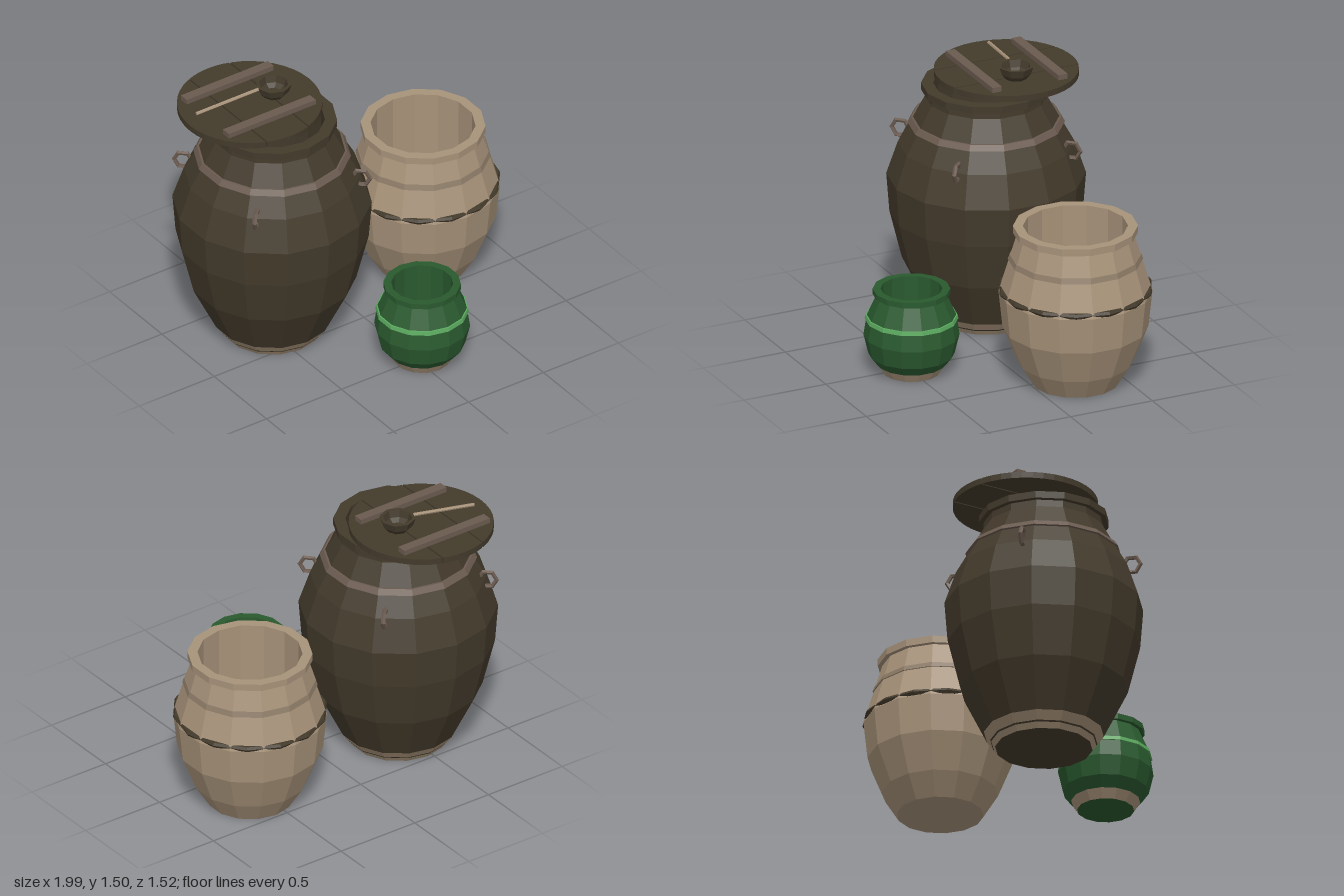
import * as THREE from 'three';

const paint = (name, color) => {
  const m = new THREE.MeshStandardMaterial({ color });
  m.name = name;
  return m;
};

export function createModel() {
  const dark = paint('darkClay', 0x433a2b);
  const brown = paint('brownWood', 0x6b5b50);
  const beige = paint('beigeClay', 0xa8937a);
  const tan = paint('tanBand', 0x8c7a66);
  const green = paint('greenGlaze', 0x2a5a2f);
  const lightGreen = paint('lightGreenStripe', 0x5aa85e);
  const blue = paint('blueWater', 0x3a6ab0);

  const SIDES = 14;
  const model = new THREE.Group();

  // Faceted mesh helper
  const add = (parent, name, geometry, material) => {
    const g = geometry.index ? geometry.toNonIndexed() : geometry;
    g.computeVertexNormals();
    const mesh = new THREE.Mesh(g, material);
    mesh.name = name;
    parent.add(mesh);
    return mesh;
  };
  // Turned part from [radius, height] points, outside going up, inside going down
  const turn = (parent, name, pts, material, sides = SIDES) =>
    add(parent, name, new THREE.LatheGeometry(pts.map(([r, y]) => new THREE.Vector2(r, y)), sides), material);
  const jar = (name, x, z) => {
    const g = new THREE.Group();
    g.name = name;
    g.position.set(x, 0, z);
    model.add(g);
    return g;
  };

  // Large dark jar
  const large = jar('largeJar', -0.467, -0.21);
  turn(large, 'base', [[0, 0], [0.268, 0]], dark);
  turn(large, 'lowerFootBand', [[0.268, 0], [0.289, 0.03]], beige);
  turn(large, 'footGroove', [[0.289, 0.03], [0.295, 0.038]], dark);
  turn(large, 'upperFootBand', [[0.295, 0.038], [0.33, 0.085]], beige);
  turn(large, 'body', [
    [0.33, 0.085], [0.462, 0.355], [0.53, 0.63], [0.547, 0.853], [0.484, 1.04], [0.405, 1.18],
    [0.333, 1.31], [0.33, 1.35], [0.357, 1.35], [0.357, 1.39], [0.29, 1.39], [0.29, 0.9],
  ], dark);
  turn(large, 'shoulderBand', [[0.42, 1.153], [0.432, 1.157], [0.412, 1.188], [0.398, 1.188]], brown);
  turn(large, 'water', [[0.29, 0.9], [0, 0.9]], blue);

  // Four ring handles set radially on the shoulder
  for (let i = 0; i < 4; i++) {
    const a = Math.PI / 4 + i * Math.PI / 2;
    const ring = add(large, 'ringHandle', new THREE.TorusGeometry(0.05, 0.013, 5, 6), brown);
    ring.position.set(Math.cos(a) * 0.495, 1.053, Math.sin(a) * 0.495);
    ring.rotation.y = -a;
  }

  // Round lid cut into three boards, pushed off centre
  const lid = new THREE.Group();
  lid.name = 'lid';
  lid.position.set(-0.515, 1.395, -0.357);
  model.add(lid);
  const R = 0.398, gap = 0.004;
  const cuts = [-R, -0.144, 0.13, R];
  for (let b = 0; b < 3; b++) {
    const x0 = cuts[b] + (b > 0 ? gap : 0), x1 = cuts[b + 1] - (b < 2 ? gap : 0);
    const outline = [];
    const n = 8;
    for (let i = 0; i <= n; i++) {
      const a0 = Math.acos(x0 / R), a1 = Math.acos(x1 / R);
      const a = a0 + (a1 - a0) * i / n;
      outline.push([R * Math.cos(a), R * Math.sin(a)]);
    }
    const lower = outline.map(([x, y]) => [x, -y]);
    const pts = [...lower, ...outline.reverse()]
      .map(([x, y]) => new THREE.Vector2(x, y))
      .filter((p, i, all) => i === 0 || p.distanceTo(all[i - 1]) > 1e-5);
    if (pts[0].distanceTo(pts[pts.length - 1]) < 1e-5) pts.pop();
    const board = new THREE.ExtrudeGeometry(new THREE.Shape(pts), { depth: 0.035, bevelEnabled: false });
    add(lid, 'lidBoard', board.rotateX(-Math.PI / 2), dark);
  }
  for (const z of [-0.205, 0.197]) {
    const batten = add(lid, 'lidBatten', new THREE.BoxGeometry(0.58, 0.03, 0.056), brown);
    batten.position.set(-0.005, 0.05, z);
  }

  // Ladle resting on the lid
  const ladle = jar('ladle', -0.365, -0.342);
  turn(ladle, 'ladleBowl', [
    [0, 1.43], [0.058, 1.43], [0.085, 1.46], [0.1, 1.505], [0.082, 1.505], [0.07, 1.465], [0.045, 1.445], [0, 1.445],
  ], dark, 8);
  const start = new THREE.Vector3(-0.47, 1.449, -0.066);
  const end = new THREE.Vector3(-0.085, 1.494, -0.012);
  const stick = add(ladle, 'ladleHandle', new THREE.CylinderGeometry(0.01, 0.01, start.distanceTo(end), 6), beige);
  stick.position.copy(start).lerp(end, 0.5);
  stick.quaternion.setFromUnitVectors(new THREE.Vector3(0, 1, 0), end.clone().sub(start).normalize());

  // Medium beige jar
  const medium = jar('mediumJar', 0.565, -0.245);
  turn(medium, 'body', [
    [0, 0], [0.239, 0], [0.318, 0.127], [0.4, 0.33], [0.422, 0.54], [0.36, 0.745], [0.318, 0.885],
    [0.343, 0.885], [0.343, 0.925], [0.288, 0.925], [0.288, 0.48],
  ], beige);
  turn(medium, 'shoulderBand', [[0.355, 0.727], [0.371, 0.729], [0.361, 0.758], [0.35, 0.758]], tan);
  const rope = new THREE.TorusGeometry(0.411, 0.017, 6, SIDES).rotateX(Math.PI / 2);
  add(medium, 'waistBand', rope, dark).position.y = 0.558;
  turn(medium, 'water', [[0.288, 0.48], [0, 0.48]], blue);

  // Small green jar
  const small = jar('smallJar', 0.041, 0.497);
  turn(small, 'base', [[0, 0], [0.157, 0]], green);
  turn(small, 'foot', [[0.157, 0], [0.19, 0.052]], beige);
  turn(small, 'body', [
    [0.19, 0.052], [0.237, 0.11], [0.263, 0.22], [0.246, 0.335], [0.19, 0.46],
    [0.213, 0.46], [0.213, 0.492], [0.17, 0.492], [0.17, 0.22],
  ], green);
  turn(small, 'stripe', [[0.247, 0.313], [0.257, 0.314], [0.252, 0.336], [0.24, 0.338]], lightGreen);
  turn(small, 'water', [[0.17, 0.22], [0, 0.22]], blue);

  return model;
}
